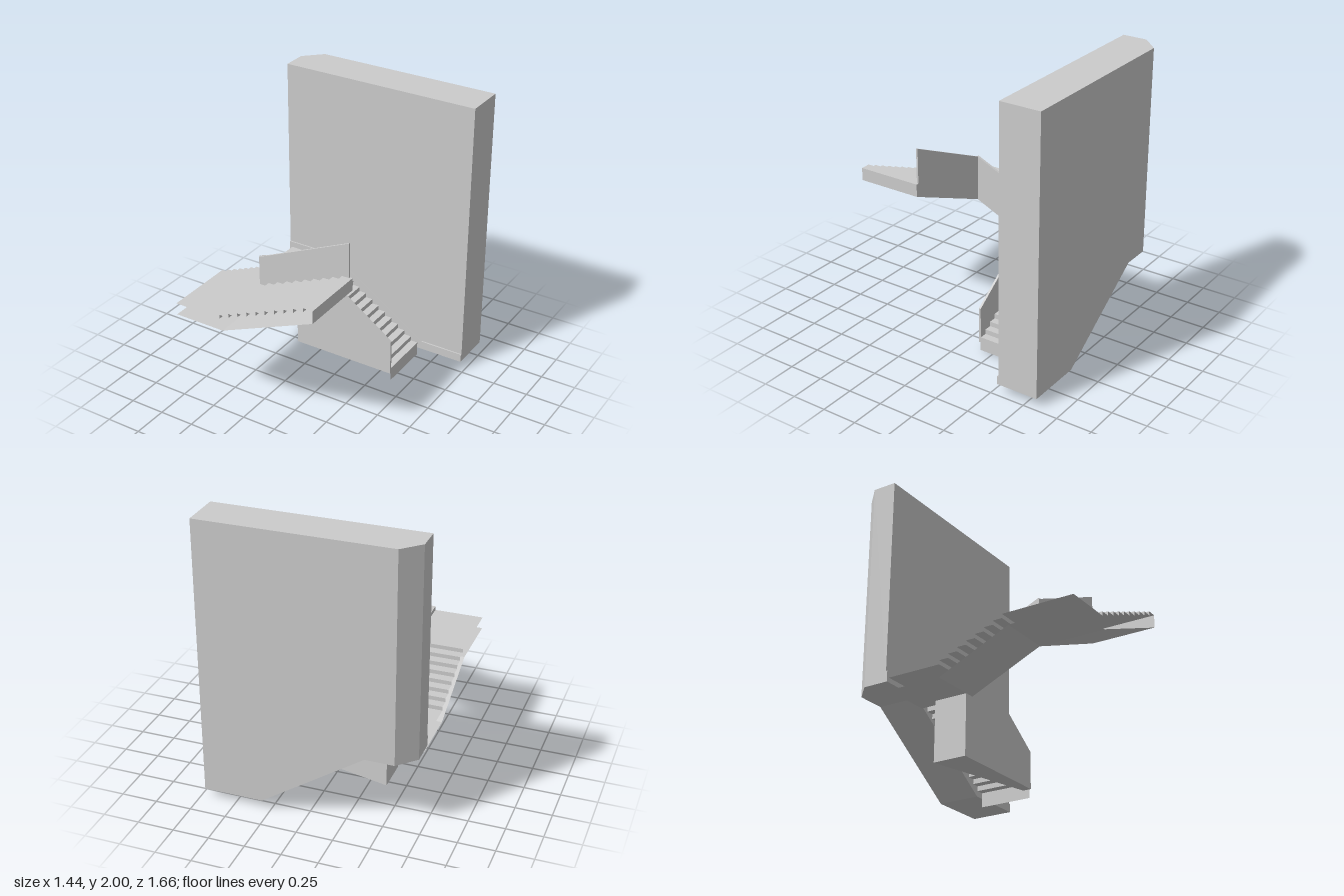
import * as THREE from 'three';

const solid = new THREE.MeshStandardMaterial({ color: 0xcccccc, flatShading: true });
const thin = new THREE.MeshStandardMaterial({ color: 0xcccccc, flatShading: true, side: THREE.DoubleSide });

export function createModel() {
  const group = new THREE.Group();
  const add = (name, geometry, material = solid) => {
    const mesh = new THREE.Mesh(geometry, material);
    mesh.name = name;
    group.add(mesh);
    return mesh;
  };
  const prism = (points, depth) => new THREE.ExtrudeGeometry(
    new THREE.Shape(points.map(p => new THREE.Vector2(...p))), { depth, bevelEnabled: false });

  // Open sheet: a profile of [run, y] points swept sideways from a to b.
  const sheet = (name, profile, axis, a, b) => {
    const at = ([r, y], s) => axis === 'x' ? [r, y, s] : [s, y, r];
    const v = [];
    for (let i = 0; i < profile.length - 1; i++) {
      const [p, q] = [profile[i], profile[i + 1]];
      v.push(...at(p, a), ...at(p, b), ...at(q, b), ...at(p, a), ...at(q, b), ...at(q, a));
    }
    const g = new THREE.BufferGeometry();
    g.setAttribute('position', new THREE.Float32BufferAttribute(v, 3));
    g.computeVertexNormals();
    add(name, g, thin);
  };

  // Stepped profile: each riser is followed by its tread.
  const steps = (start, run, y0, heights) => {
    const pts = [[start, y0]];
    heights.forEach((y, k) => {
      pts.push([start + run * k, y]);
      pts.push([start + run * (k + 1), y]);
      if (k + 1 < heights.length) return;
      pts.pop();
    });
    return pts;
  };
  const rises = (n, y0, rise) => Array.from({ length: n }, (_, k) => y0 + rise * (k + 1));

  // Tall wall, its underside following the first flight
  add('wall', prism([[-0.6, 0.535], [-0.4, 0.535], [0.31, 0.06], [0.72, 0.06], [0.72, 2], [-0.6, 2]], 0.29))
    .position.z = -0.83;
  // Chamfered end of the wall
  const end = prism([[-0.72, 0.54], [-0.6, 0.54], [-0.6, 0.83], [-0.72, 0.71]], 1.465);
  end.rotateX(-Math.PI / 2);
  add('wallEnd', end).position.y = 0.535;
  // Skirting board along the wall
  add('skirting', prism([[-0.72, 0.535], [-0.4, 0.535], [0.31, 0.06], [0.72, 0.06], [0.72, 0.12],
    [0.4, 0.12], [-0.34, 0.61], [-0.72, 0.61]], 0.01)).position.z = -0.54;

  // First flight, climbing towards -x onto the lower landing
  const first = steps(0.37, -0.0542, 0, [...rises(13, 0.0656, 0.0344), 0.568]);
  sheet('lowerFlight', [...first, [-0.7, 0.568]], 'x', -0.53, -0.15);
  sheet('lowerLandingEdgeStrip', [[-0.35, 0.568], [-0.7, 0.568]], 'x', -0.15, -0.14);

  // Second flight, climbing towards +z onto the upper landing
  const second = steps(-0.14, 0.0661, 0.568, rises(8, 0.568, 0.0284));
  sheet('middleFlight', [...second, [0.83, 0.795]], 'z', -0.7, -0.35);

  // Third flight, climbing towards +x, with its end face
  const third = steps(-0.35, 0.0716, 0.795, rises(10, 0.795, 0.0295));
  sheet('upperFlight', [...third, [0.365, 1.09], [0.365, 1.0]], 'x', 0.37, 0.83);

  // Undersides
  sheet('middleSoffit', [[-0.53, 0.48], [-0.14, 0.48], [0.37, 0.71], [0.83, 0.71]], 'z', -0.7, -0.34);
  sheet('upperSoffit', [[-0.34, 0.71], [-0.33, 0.71], [0.365, 1.0]], 'x', 0.37, 0.83);

  // Parapets on the inner side of each flight
  add('lowerParapet', prism([[-0.4, 0.06], [0.37, 0.06], [0.37, 0.32], [-0.335, 0.813], [-0.35, 0.815],
    [-0.35, 0.55], [-0.4, 0.55]], 0.015)).position.z = -0.155;
  const mid = prism([[-0.155, 0.48], [-0.14, 0.48], [0.37, 0.71], [0.37, 1.04], [-0.14, 0.813], [-0.155, 0.813]], 0.018);
  mid.rotateY(-Math.PI / 2);
  add('middleParapet', mid).position.x = -0.332;
  add('upperParapet', prism([[-0.35, 0.71], [-0.33, 0.71], [0.365, 1.0], [0.365, 1.09], [0.345, 1.09],
    [0.345, 1.34], [-0.33, 1.04], [-0.35, 1.035]], 0.013)).position.z = 0.363;

  // Support under the first flight, deeper towards the landing
  const support = prism([[-0.4, 0.06], [0.37, 0.06], [0.37, 0.066], [-0.4, 0.55]], 1);
  const p = support.attributes.position;
  for (let i = 0; i < p.count; i++) {
    const back = THREE.MathUtils.mapLinear(p.getX(i), -0.4, 0.37, -0.38, -0.2);
    p.setZ(i, p.getZ(i) > 0.5 ? -0.155 : back);
  }
  support.computeVertexNormals();
  add('stairSupport', support);

  return group;
}
